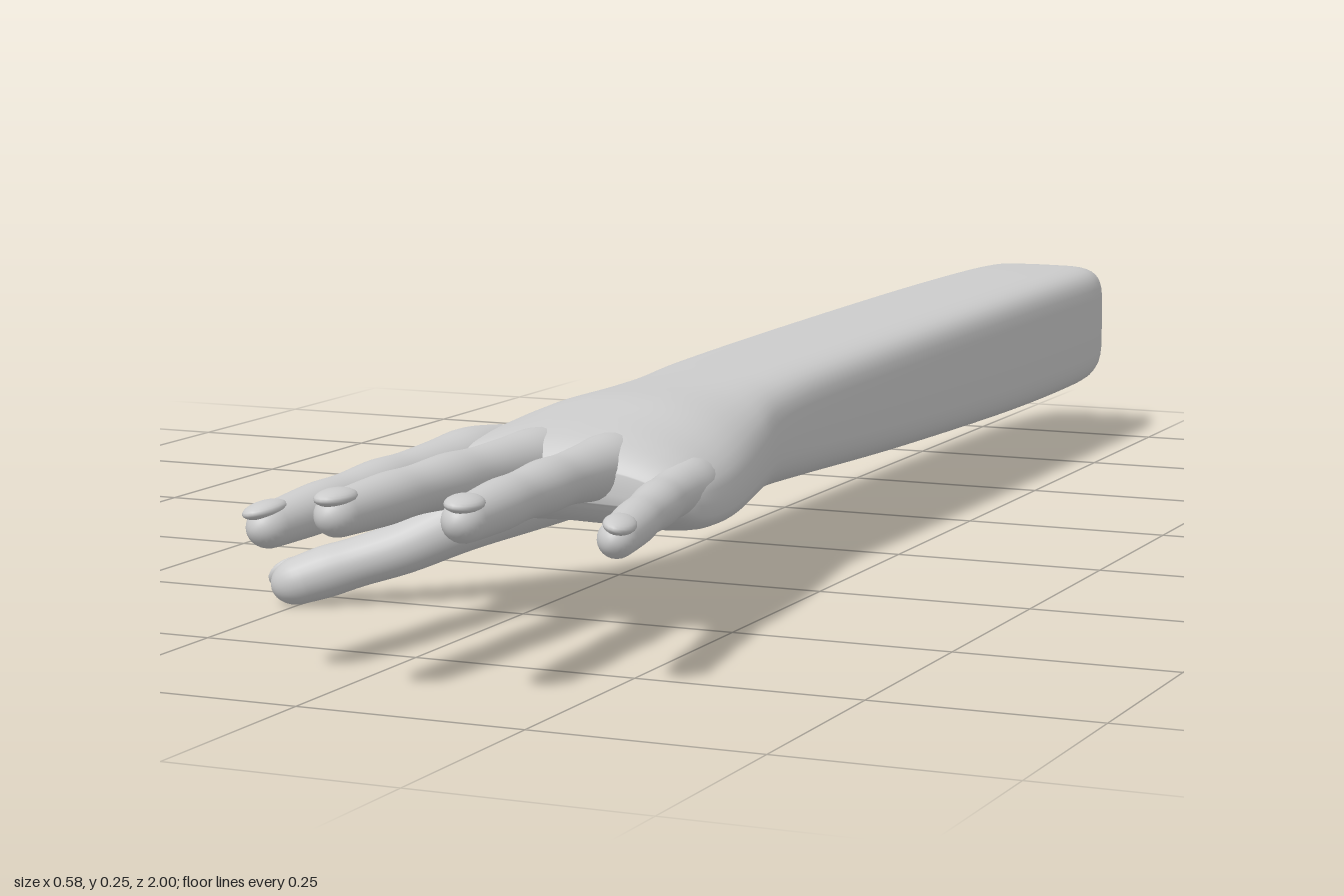
import * as THREE from 'three';
import { mergeVertices } from 'three/addons/utils/BufferGeometryUtils.js';

const V = (x, y, z) => new THREE.Vector3(x, y, z);
const material = new THREE.MeshStandardMaterial({ color: 0xcccccc, roughness: 0.7 });
const SIDES = 40;

// Smooth interpolation through rows of numbers, t from 0 to 1
function sampleRows(rows, t) {
  const last = rows.length - 1;
  const f = Math.min(t * last, last - 1e-6);
  const i = Math.floor(f), u = f - i;
  const row = (k) => rows[Math.min(Math.max(k, 0), last)];
  return rows[0].map((_, c) => {
    const [a, b, d, e] = [row(i - 1)[c], row(i)[c], row(i + 1)[c], row(i + 2)[c]];
    const m0 = (d - a) / 2, m1 = (e - b) / 2;
    return b + m0 * u + (3 * (d - b) - 2 * m0 - m1) * u * u + (2 * (b - d) + m0 + m1) * u * u * u;
  });
}

// Skin over closed rings of equal length
function loft(rings) {
  const pos = [], index = [], n = rings[0].length;
  rings.forEach((ring) => ring.forEach((p) => pos.push(p.x, p.y, p.z)));
  for (let i = 0; i < rings.length - 1; i++) {
    for (let j = 0; j < n; j++) {
      const k = (j + 1) % n;
      const a = i * n + j, b = i * n + k, c = b + n, d = a + n;
      index.push(a, b, c, a, c, d);
    }
  }
  const g = new THREE.BufferGeometry();
  g.setAttribute('position', new THREE.Float32BufferAttribute(pos, 3));
  g.setIndex(index);
  const merged = mergeVertices(g, 1e-6);
  merged.computeVertexNormals();
  return merged;
}

function addMesh(parent, name, geometry) {
  const mesh = new THREE.Mesh(geometry, material);
  mesh.name = name;
  parent.add(mesh);
  return mesh;
}

// Rounded-box section; bend drops its sides to arch the hand
function section([z, x0, x1, y0, y1, power, bend]) {
  const ring = [];
  const cx = (x0 + x1) / 2, cy = (y0 + y1) / 2;
  for (let j = 0; j < SIDES; j++) {
    const a = (j / SIDES) * Math.PI * 2;
    const c = Math.cos(a), s = Math.sin(a);
    const u = Math.sign(c) * Math.abs(c) ** (2 / power);
    const v = Math.sign(s) * Math.abs(s) ** (2 / power);
    ring.push(V(cx + (u * (x1 - x0)) / 2, cy + (v * (y1 - y0)) / 2 - bend * u * u, z));
  }
  return ring;
}

// Finger along rows of x, y, z, radius, with a rounded tip and a nail
function addFinger(parent, name, rows, up, nailWidth) {
  const group = new THREE.Group();
  group.name = name;
  parent.add(group);
  const rings = [], STEPS = 36;
  const at = (t) => sampleRows(rows, t);
  const frame = (t) => {
    const p = at(Math.max(0, t - 0.02)), q = at(Math.min(1, t + 0.02));
    const T = V(q[0] - p[0], q[1] - p[1], q[2] - p[2]).normalize();
    const R = up.clone().cross(T).normalize();
    return { T, R, U: T.clone().cross(R) };
  };
  const addRing = (centre, r, { R, U }) => {
    const ring = [];
    for (let j = 0; j < 24; j++) {
      const a = (j / 24) * Math.PI * 2;
      ring.push(centre.clone().addScaledVector(R, r * Math.cos(a)).addScaledVector(U, r * Math.sin(a)));
    }
    rings.push(ring);
  };
  for (let i = 0; i <= STEPS; i++) {
    const [x, y, z, r] = at(i / STEPS);
    addRing(V(x, y, z), r, frame(i / STEPS));
  }
  const [x, y, z, r] = rows[rows.length - 1];
  const end = V(x, y, z), f = frame(1);
  for (let i = 1; i <= 8; i++) {
    const a = (i / 8) * Math.PI / 2;
    addRing(end.clone().addScaledVector(f.T, r * 1.25 * Math.sin(a)), r * Math.cos(a), f);
  }
  addMesh(group, name + 'Skin', loft(rings));

  const nail = addMesh(group, name + 'Nail', new THREE.SphereGeometry(1, 20, 12));
  nail.scale.set(nailWidth, 0.009, 0.029);
  nail.quaternion.setFromRotationMatrix(new THREE.Matrix4().makeBasis(f.R, f.U, f.T));
  nail.position.copy(end).addScaledVector(f.U, r * 0.78).addScaledVector(f.T, r * 0.2);
}

export function createModel() {
  const model = new THREE.Group();
  model.name = 'armAndHand';

  // Forearm, wrist and palm: z, left x, right x, bottom y, top y, squareness, bend
  const rows = [
    [-1.0, 0.022, 0.176, 0.1, 0.236, 5, 0],
    [-0.97, 0.012, 0.186, 0.089, 0.247, 5, 0],
    [-0.88, 0.002, 0.195, 0.084, 0.251, 5, 0],
    [-0.6, -0.004, 0.197, 0.084, 0.251, 5, 0],
    [-0.2, -0.009, 0.196, 0.093, 0.247, 4.6, 0],
    [0.1, -0.012, 0.193, 0.103, 0.242, 4, 0],
    [0.22, -0.014, 0.193, 0.106, 0.24, 3.4, 0.003],
    [0.3, -0.035, 0.207, 0.104, 0.239, 2.9, 0.01],
    [0.4, -0.065, 0.227, 0.105, 0.238, 2.7, 0.02],
    [0.48, -0.08, 0.239, 0.112, 0.23, 2.7, 0.024],
    [0.55, -0.084, 0.245, 0.122, 0.221, 2.8, 0.022],
    [0.59, -0.075, 0.238, 0.135, 0.211, 2.8, 0.018],
    [0.61, -0.055, 0.222, 0.155, 0.192, 2.6, 0.012],
  ];
  const rings = [];
  for (let i = 0; i <= 96; i++) rings.push(section(sampleRows(rows, i / 96)));
  const tip = rings[rings.length - 1];
  rings.push(tip.map(() => V(0.083, 0.173, 0.613)));
  addMesh(model, 'forearmAndPalm', loft(rings));

  // Flat cut at the elbow end
  const shape = new THREE.Shape(section(rows[0]).map((p) => new THREE.Vector2(p.x, p.y)));
  const cap = addMesh(model, 'elbowEnd', new THREE.ShapeGeometry(shape).rotateY(Math.PI));
  cap.position.z = -1;
  cap.scale.x = -1;
  cap.geometry.scale(1, 1, 1);
  cap.material = material.clone();
  cap.material.side = THREE.DoubleSide;

  // Fingers: base, tip-joint centre, size; joints swell slightly
  const profile = [[0, 1.2], [0.16, 1.4], [0.3, 1.2], [0.44, 1.06], [0.56, 1.1], [0.7, 0.98], [0.82, 1.02], [1, 0.88]];
  const fingers = [
    ['indexFinger', V(-0.032, 0.178, 0.48), V(-0.083, 0.161, 0.9), 0.026, V(-0.15, 1, 0)],
    ['middleFinger', V(0.049, 0.18, 0.48), V(0.034, 0.192, 0.97), 0.026, V(0, 1, 0)],
    ['ringFinger', V(0.125, 0.179, 0.48), V(0.152, 0.188, 0.93), 0.026, V(0.1, 1, 0)],
    ['littleFinger', V(0.195, 0.16, 0.46), V(0.264, 0.16, 0.82), 0.023, V(0.25, 1, 0)],
  ];
  for (const [name, a, b, size, up] of fingers) {
    const path = profile.map(([t, k]) => {
      const p = a.clone().lerp(b, t);
      return [p.x, p.y + 0.006 * Math.sin(t * Math.PI), p.z, size * k];
    });
    addFinger(model, name, path, up, size * 0.72);
  }

  // Thumb growing out of the heel of the hand
  addFinger(model, 'thumb', [
    [0.04, 0.148, 0.26, 0.034],
    [0.0, 0.138, 0.34, 0.046],
    [-0.048, 0.12, 0.405, 0.045],
    [-0.1, 0.092, 0.455, 0.035],
    [-0.15, 0.066, 0.49, 0.03],
    [-0.195, 0.05, 0.517, 0.028],
    [-0.225, 0.04, 0.535, 0.029],
    [-0.25, 0.031, 0.55, 0.027],
  ], V(-0.45, 0.35, -0.8), 0.019);

  return model;
}
